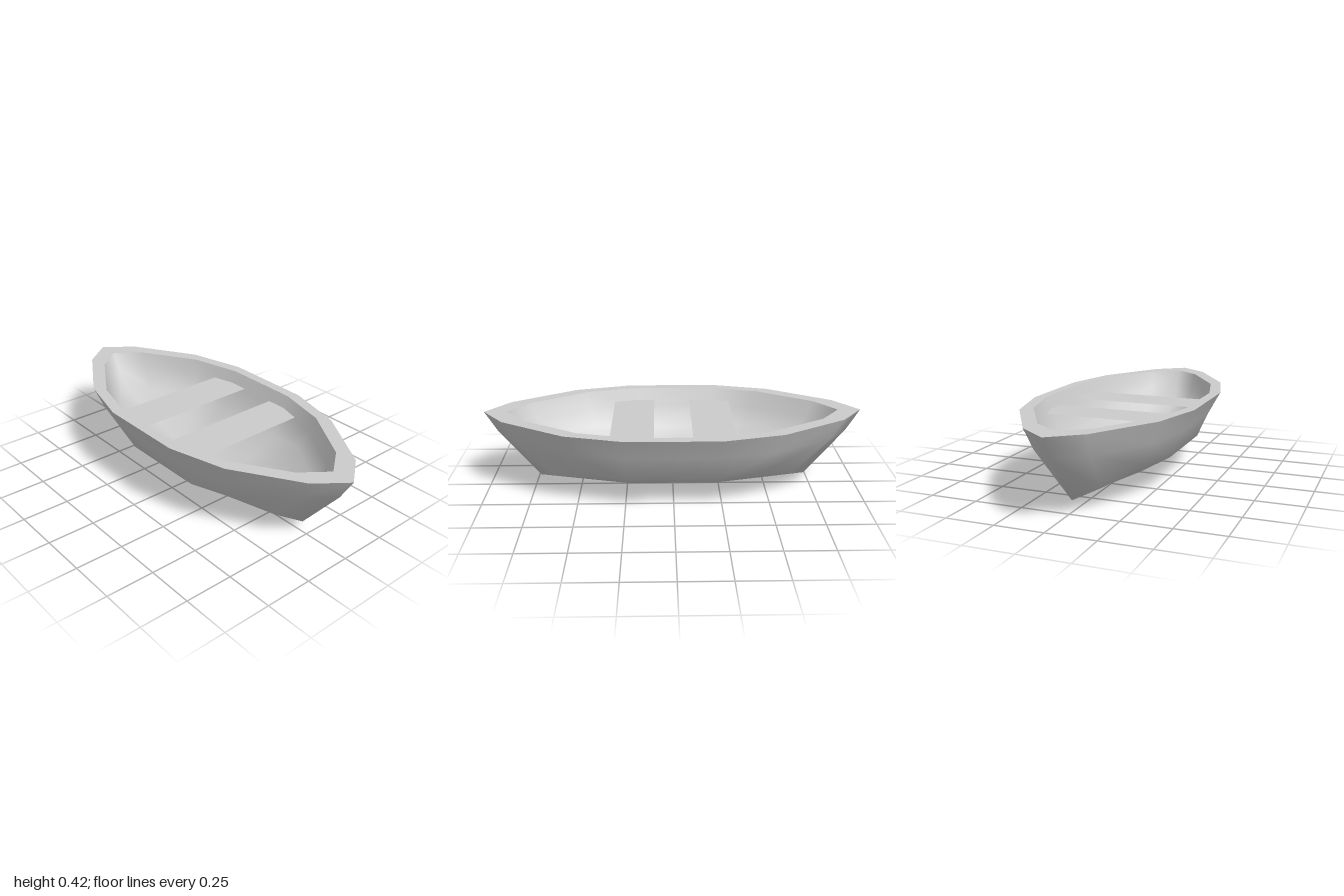
import * as THREE from 'three';

const RIM_Y = 0.423;

// Quarter rings from the bow tip to amidships, [x, y, z], rim down to keel
const OUTER = [
  [[0, RIM_Y, 1], [0.155, RIM_Y, 0.88], [0.36, RIM_Y, 0.545], [0.439, RIM_Y, 0.24]],
  [[0, 0.308, 0.93], [0.138, 0.308, 0.815], [0.318, 0.308, 0.51], [0.376, 0.308, 0.24]],
  [[0, 0.058, 0.72], [0.11, 0.104, 0.634], [0.26, 0.185, 0.46], [0.313, 0.17, 0.24]],
  [[0, 0.029, 0.48], [0.07, 0.066, 0.46], [0.13, 0.088, 0.35], [0.16, 0.08, 0.24]],
  [[0, 0, 0.24], [0, 0, 0.24], [0, 0, 0.24], [0, 0, 0.24]],
];
const INNER = [
  [[0, RIM_Y, 0.88], [0.137, RIM_Y, 0.775], [0.318, RIM_Y, 0.48], [0.386, RIM_Y, 0.21]],
  [[0, 0.34, 0.835], [0.128, 0.34, 0.735], [0.3, 0.34, 0.455], [0.353, 0.34, 0.21]],
  [[0, 0.23, 0.76], [0.115, 0.235, 0.655], [0.255, 0.245, 0.43], [0.295, 0.215, 0.21]],
  [[0, 0.147, 0.5], [0.07, 0.168, 0.47], [0.127, 0.155, 0.33], [0.147, 0.138, 0.21]],
  [[0, 0.06, 0.21], [0, 0.06, 0.21], [0, 0.06, 0.21], [0, 0.06, 0.21]],
];

// Mirror a quarter into a closed ring of 14 points
function fullRing(q) {
  const side = [...q, ...q.slice().reverse().map(([x, y, z]) => [x, y, -z])];
  const other = side.slice(1, -1).reverse().map(([x, y, z]) => [-x, y, z]);
  return [...side, ...other];
}

// Skin a stack of rings, sharing equal points so the shading stays smooth
function loft(rings, flip = false) {
  const pos = [], index = [], seen = new Map();
  const vertex = (p) => {
    const key = p.map((v) => Math.round(v * 1e4)).join();
    if (!seen.has(key)) {
      seen.set(key, pos.length / 3);
      pos.push(...p);
    }
    return seen.get(key);
  };
  const tri = (a, b, c) => {
    if (a === b || b === c || a === c) return;
    index.push(...(flip ? [a, c, b] : [a, b, c]));
  };
  for (let i = 0; i < rings.length - 1; i++) {
    const n = rings[i].length;
    for (let j = 0; j < n; j++) {
      const k = (j + 1) % n;
      const a = vertex(rings[i][j]), b = vertex(rings[i][k]);
      const c = vertex(rings[i + 1][j]), d = vertex(rings[i + 1][k]);
      // Diagonals mirror between the quarters
      if (j % (n / 2) > 3) {
        tri(c, d, b);
        tri(c, b, a);
      } else {
        tri(c, d, a);
        tri(d, b, a);
      }
    }
  }
  const g = new THREE.BufferGeometry();
  g.setAttribute('position', new THREE.Float32BufferAttribute(pos, 3));
  g.setIndex(index);
  g.computeVertexNormals();
  return g;
}

export function createModel() {
  const boat = new THREE.Group();
  boat.name = 'rowingBoat';
  const mat = new THREE.MeshStandardMaterial({ color: 0xcccccc });
  const thin = new THREE.MeshStandardMaterial({ color: 0xcccccc, side: THREE.DoubleSide });
  const add = (name, geometry, material = mat) => {
    const mesh = new THREE.Mesh(geometry, material);
    mesh.name = name;
    boat.add(mesh);
    return mesh;
  };

  // Hull skins and the flat rim joining them
  const outer = OUTER.map(fullRing);
  const inner = INNER.map(fullRing);
  add('outerHull', loft(outer));
  add('innerHull', loft(inner, true));
  add('gunwale', loft([inner[0], outer[0]]));

  // Two thin thwarts, tapered where the hull narrows
  const outline = [[-0.359, 0.1], [0.359, 0.1], [0.359, 0.21], [0.328, 0.325], [-0.328, 0.325], [-0.359, 0.21]];
  for (const [name, dir] of [['frontSeat', 1], ['rearSeat', -1]]) {
    const shape = new THREE.Shape(outline.map(([x, z]) => new THREE.Vector2(x, -z * dir)));
    const geometry = new THREE.ShapeGeometry(shape).rotateX(-Math.PI / 2);
    add(name, geometry, thin).position.y = 0.36;
  }
  return boat;
}
